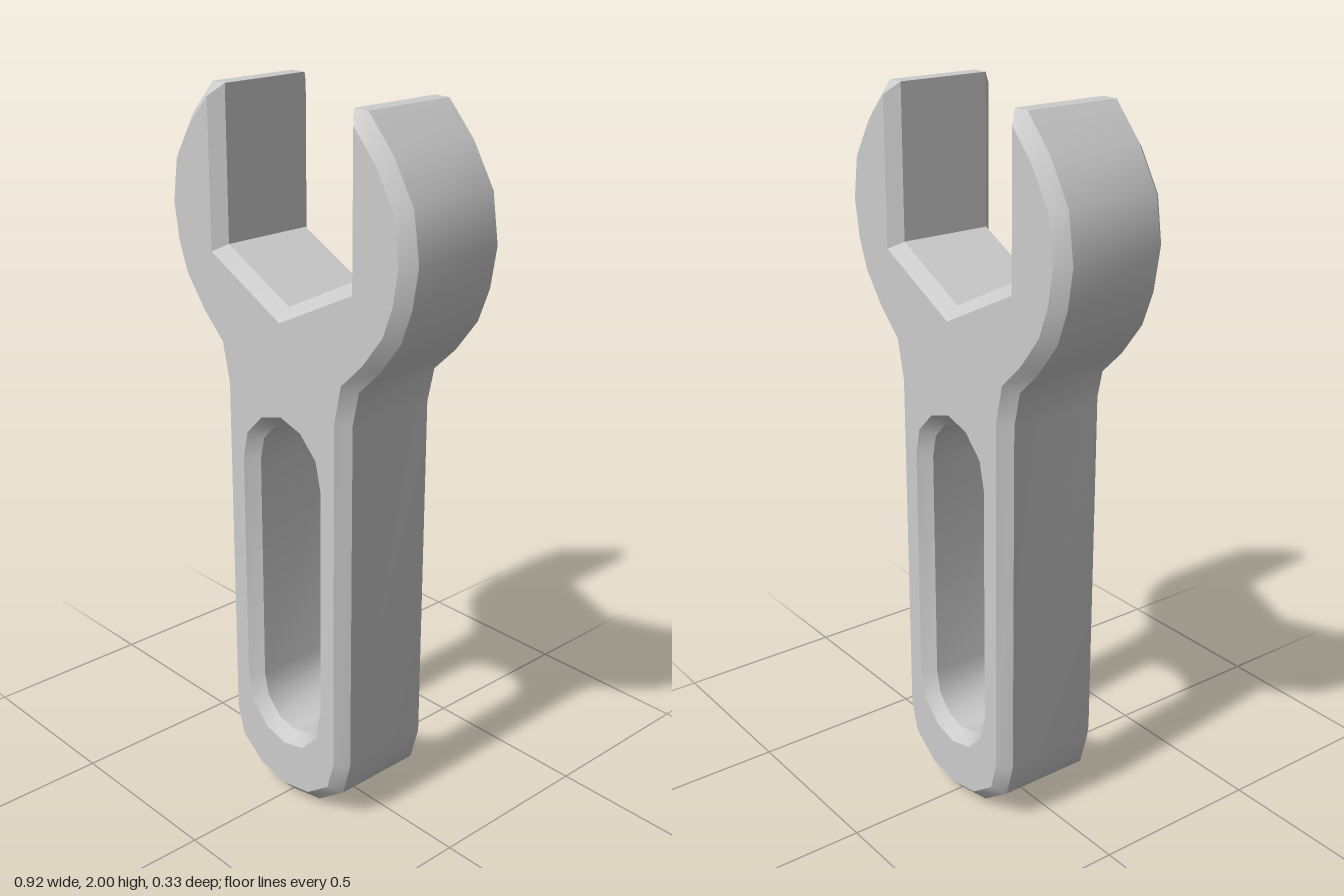
import * as THREE from 'three';
import { toCreasedNormals } from 'three/addons/utils/BufferGeometryUtils.js';

const BEVEL = 0.033;
const HALF_DEPTH = 0.167;

// Right half of the body outline, from the jaw notch round to the bottom of the handle
const BODY = [
  [0, 1.468], [0.237, 1.585], [0.237, 2], [0.285, 2],                              // notch and jaw tip
  [0.37, 1.91], [0.438, 1.8], [0.458, 1.67], [0.44, 1.56], [0.405, 1.468],         // head
  [0.333, 1.375], [0.262, 1.307], [0.24, 1.21],                                    // neck
  [0.24, 0.197], [0.212, 0.095], [0.113, 0.022], [0, 0],                           // handle end
];

// Right half of the slot outline, bottom to top so that it winds against the body
const SLOT = [
  [0, 0.205], [0.06, 0.22], [0.107, 0.268], [0.122, 0.335],
  [0.122, 1.01], [0.107, 1.075], [0.06, 1.122], [0, 1.14],
];

// Completes a half outline by mirroring it across x = 0
function mirrored(half) {
  const left = half.slice(1, -1).reverse().map(([x, y]) => [-x, y]);
  return [...half, ...left].map(([x, y]) => new THREE.Vector2(x, y));
}

export function createModel() {
  const group = new THREE.Group();
  group.name = 'wrench';

  const shape = new THREE.Shape(mirrored(BODY));
  shape.holes.push(new THREE.Path(mirrored(SLOT)));

  // The chamfer cuts inwards, so the outline stays the widest section
  const depth = 2 * (HALF_DEPTH - BEVEL);
  const extruded = new THREE.ExtrudeGeometry(shape, {
    depth,
    bevelEnabled: true,
    bevelSegments: 1,
    bevelThickness: BEVEL,
    bevelSize: BEVEL,
    bevelOffset: -BEVEL,
    curveSegments: 1,
  });
  extruded.translate(0, 0, -depth / 2);

  // Smooth around the walls, sharp at the chamfers
  const geometry = toCreasedNormals(extruded, THREE.MathUtils.degToRad(40));
  const body = new THREE.Mesh(geometry, new THREE.MeshStandardMaterial({ color: 0xcccccc }));
  body.name = 'wrenchBody';
  group.add(body);

  return group;
}
